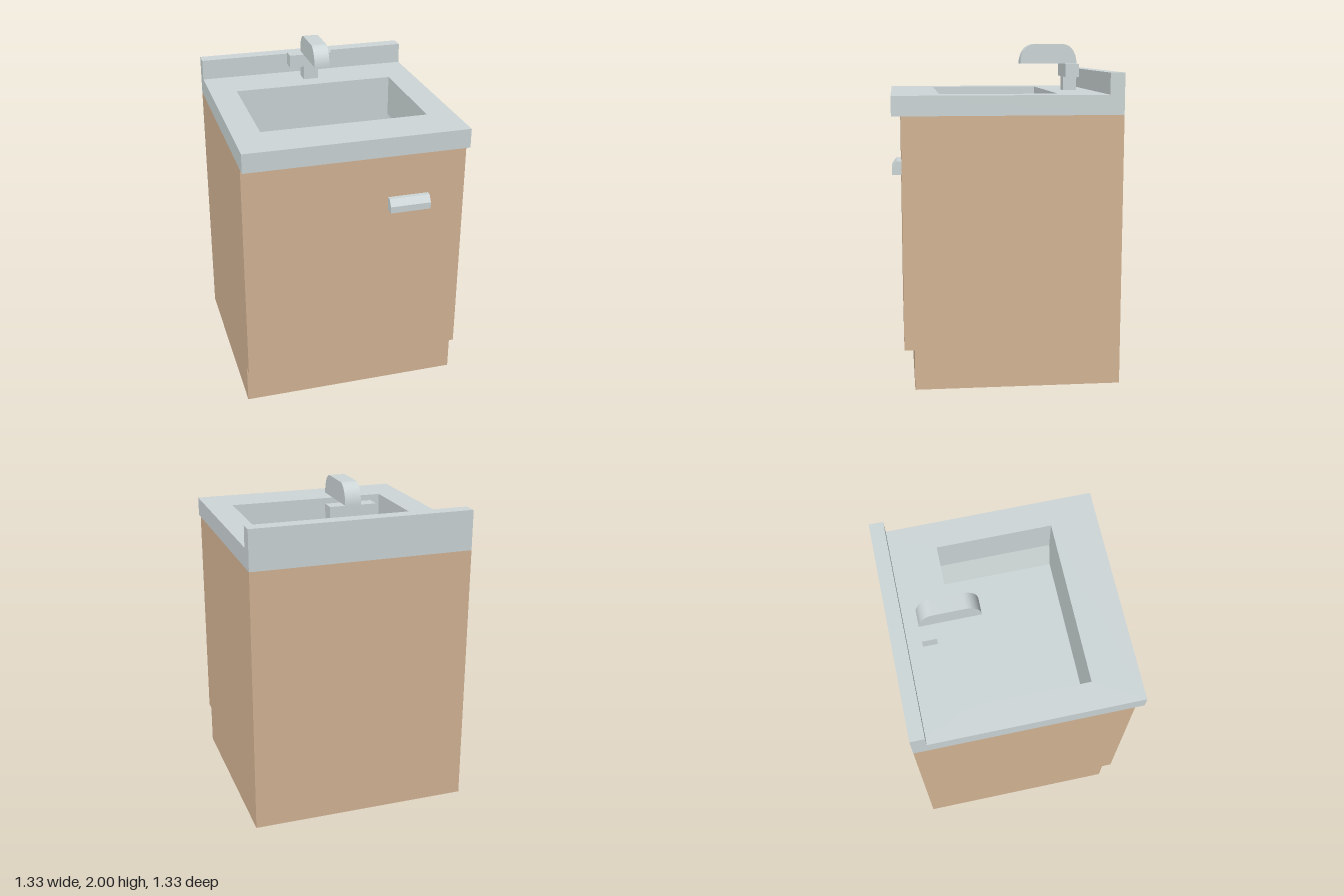
import * as THREE from 'three';
import { toCreasedNormals } from 'three/addons/utils/BufferGeometryUtils.js';

const wood = new THREE.MeshStandardMaterial({ color: 0xd6b696 });
wood.name = 'wood';
const metal = new THREE.MeshStandardMaterial({ color: 0xced7d8 });
metal.name = 'metal';

const polygon = (points) => new THREE.Shape(points.map(([a, b]) => new THREE.Vector2(a, b)));

// Extrudes a (z, y) side profile along x, from x0 to x1
function extrudeAlongX(shape, x0, x1) {
  const geometry = new THREE.ExtrudeGeometry(shape, { depth: x1 - x0, bevelEnabled: false, curveSegments: 16 });
  return geometry.rotateY(-Math.PI / 2).scale(1, 1, 1).translate(x1, 0, 0);
}

// Removes upward faces to leave an open top; inward turns the faces to the inside
function openTop(geometry, inward) {
  const p = geometry.attributes.position;
  const kept = [];
  for (let i = 0; i < p.count; i += 3) {
    const [a, b, c] = [0, 1, 2].map((k) => new THREE.Vector3().fromBufferAttribute(p, i + k));
    const normal = new THREE.Triangle(a, b, c).getNormal(new THREE.Vector3());
    if (normal.y > 0.9) continue;
    for (const v of inward ? [a, c, b] : [a, b, c]) kept.push(v.x, v.y, v.z);
  }
  const shell = new THREE.BufferGeometry();
  shell.setAttribute('position', new THREE.Float32BufferAttribute(kept, 3));
  shell.computeVertexNormals();
  return shell;
}

export function createModel() {
  const model = new THREE.Group();
  model.name = 'sinkCabinet';

  const add = (name, geometry, material, parent = model) => {
    const mesh = new THREE.Mesh(geometry, material);
    mesh.name = name;
    parent.add(mesh);
  };
  // Box given by its limits on each axis
  const box = (x0, x1, y0, y1, z0, z1) =>
    new THREE.BoxGeometry(x1 - x0, y1 - y0, z1 - z0).translate((x0 + x1) / 2, (y0 + y1) / 2, (z0 + z1) / 2);

  const W = 0.665;

  // Cabinet with a recessed toe kick, open under the counter
  const side = polygon([[-W, 0], [0.55, 0], [0.55, 0.24], [0.61, 0.24], [0.61, 1.6], [-W, 1.6]]);
  add('cabinet', openTop(extrudeAlongX(side, -W, W), false), wood);

  // Counter with the basin cut-out (shape y becomes -z)
  const top = polygon([[-W, -W], [W, -W], [W, W], [-W, W]]);
  top.holes.push(polygon([[-0.5, -0.387], [-0.5, 0.304], [0.5, 0.304], [0.5, -0.387]]));
  const slab = new THREE.ExtrudeGeometry(top, { depth: 0.115, bevelEnabled: false });
  add('counter', slab.rotateX(-Math.PI / 2).translate(0, 1.6, 0), metal);
  add('backsplash', box(-W, W, 1.715, 1.84, -W, -0.58), metal);

  // Basin with sides that taper towards the floor
  const section = polygon([[-0.5, 1.6], [-0.5, 1.46], [-0.455, 1.28], [0.455, 1.28], [0.5, 1.46], [0.5, 1.6]]);
  const bowl = new THREE.ExtrudeGeometry(section, { depth: 0.691, bevelEnabled: false }).translate(0, 0, -0.304);
  add('basin', openTop(bowl, true), metal);

  // Door handle with a bevelled upper edge
  const grip = polygon([[0.61, 1.24], [0.665, 1.24], [0.665, 1.28], [0.638, 1.32], [0.61, 1.32]]);
  add('handle', extrudeAlongX(grip, 0.195, 0.44), metal);

  // Faucet: post, cross bar and rounded spout
  const faucet = new THREE.Group();
  faucet.name = 'faucet';
  model.add(faucet);
  add('post', box(-0.04, 0.055, 1.715, 1.8, -0.495, -0.41), metal, faucet);
  add('crossBar', box(-0.13, 0.145, 1.8, 1.88, -0.495, -0.41), metal, faucet);
  const arch = new THREE.Shape();
  arch.moveTo(-0.495, 1.88);
  arch.lineTo(-0.14, 1.88);
  arch.absellipse(-0.225, 1.88, 0.085, 0.12, 0, Math.PI / 2, false);
  arch.absellipse(-0.41, 1.88, 0.085, 0.12, Math.PI / 2, Math.PI, false);
  add('spout', toCreasedNormals(extrudeAlongX(arch, -0.04, 0.055), 0.6), metal, faucet);

  return model;
}
